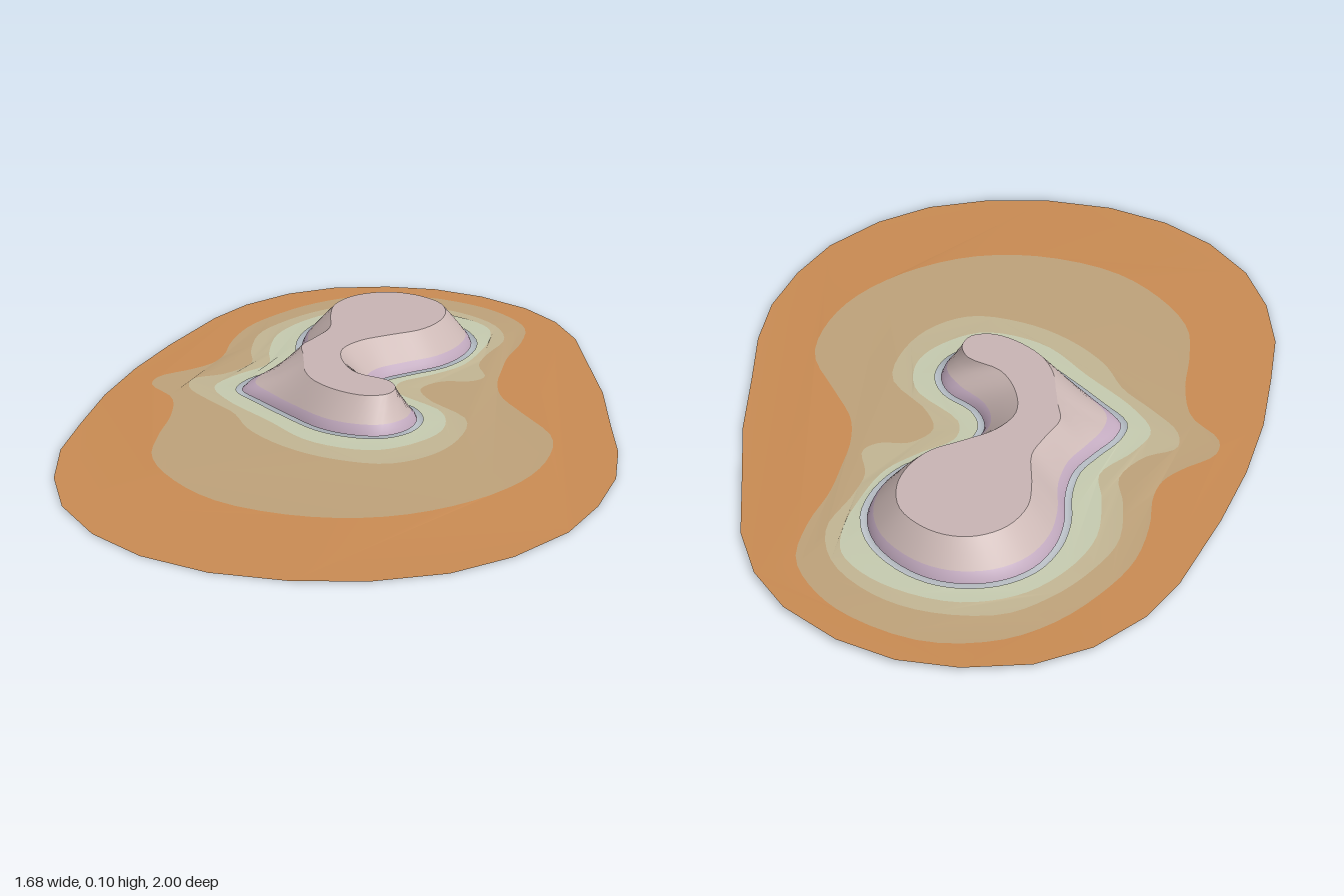
import * as THREE from 'three';

const mat = (name, color) => {
  const m = new THREE.MeshStandardMaterial({ color, side: THREE.DoubleSide });
  m.name = name;
  return m;
};

// Outlines seen from above, as flat x, z pairs
const RIM = [-.34, -1, -.17, -.99, -.03, -.94, .10, -.85, .24, -.70, .40, -.53, .54, -.35, .66, -.20, .75, -.05,
  .81, .12, .84, .29, .82, .48, .76, .64, .65, .78, .51, .89, .34, .97, .16, 1, -.01, .98, -.18, .91, -.32, .80,
  -.44, .66, -.53, .50, -.63, .31, -.71, .11, -.77, -.09, -.83, -.35, -.84, -.50, -.81, -.66, -.74, -.79,
  -.62, -.90, -.49, -.97];
const DEEP = [-.31, -.92, -.18, -.90, -.07, -.84, 0, -.72, .04, -.60, .09, -.50, .14, -.41, .21, -.33, .33, -.26,
  .48, -.17, .56, -.03, .59, .13, .56, .32, .47, .49, .32, .61, .11, .67, -.07, .64, -.22, .56, -.31, .44,
  -.38, .32, -.47, .22, -.58, .18, -.61, .12, -.58, .02, -.57, -.05, -.59, -.12, -.65, -.22, -.70, -.35,
  -.71, -.48, -.69, -.64, -.63, -.77, -.50, -.88];
const MIDDLE = [-.30, -.83, -.15, -.80, -.05, -.71, -.015, -.58, .02, -.49, .09, -.42, .08, -.37, .02, -.32,
  .01, -.24, .08, -.185, .24, -.13, .31, 0, .32, .13, .27, .24, .14, .30, 0, .31, -.15, .275, -.26, .21,
  -.37, .18, -.48, .14, -.52, .08, -.48, 0, -.48, -.11, -.55, -.19, -.63, -.32, -.645, -.45, -.63, -.58,
  -.58, -.70, -.44, -.80];
const SHALLOW = [-.29, -.79, -.15, -.765, -.085, -.69, -.04, -.58, -.01, -.45, -.03, -.34, -.06, -.24, -.02, -.175,
  .16, -.13, .24, -.03, .245, .08, .19, .195, .03, .245, -.15, .20, -.34, .15, -.43, .095, -.445, 0,
  -.435, -.13, -.50, -.21, -.58, -.34, -.60, -.48, -.57, -.62, -.47, -.735];
// Shore and plateau have matching points
const SHORE = [-.32, -.715, -.19, -.69, -.10, -.62, -.055, -.52, -.05, -.41, -.085, -.31, -.11, -.22, -.085, -.15,
  -.02, -.105, .085, -.09, .15, -.04, .175, .04, .15, .11, .085, .15, -.005, .165, -.13, .14, -.26, .105,
  -.35, .075, -.375, .015, -.375, -.07, -.38, -.16, -.42, -.25, -.485, -.34, -.525, -.43, -.535, -.53,
  -.50, -.62, -.42, -.69];
const PLATEAU = [-.31, -.655, -.22, -.635, -.155, -.57, -.125, -.49, -.125, -.41, -.16, -.33, -.195, -.24, -.19, -.155,
  -.13, -.08, -.04, -.03, .06, -.035, .11, 0, .12, .05, .085, .09, .02, .105, -.08, .09, -.155, .045,
  -.205, -.01, -.25, -.06, -.295, -.11, -.31, -.19, -.33, -.27, -.40, -.36, -.45, -.44, -.46, -.53,
  -.43, -.60, -.38, -.64];

const N = 108;
const points = (flat) => {
  const out = [];
  for (let i = 0; i < flat.length; i += 2) out.push(new THREE.Vector3(flat[i], 0, flat[i + 1]));
  return out;
};
const smooth = (flat) => {
  const curve = new THREE.CatmullRomCurve3(points(flat), true);
  return Array.from({ length: N }, (_, i) => curve.getPoint(i / N));
};
const lift = (loop, y) => loop.map((p) => new THREE.Vector3(p.x, y, p.z));

// Push a loop outward by a fixed distance
const offset = (loop, d) => loop.map((p, i) => {
  const a = loop.at(i - 1), b = loop[(i + 1) % loop.length];
  const t = b.clone().sub(a).setY(0).normalize();
  return new THREE.Vector3(p.x + t.z * d, p.y, p.z - t.x * d);
});

// Filled outline, optionally with a hole; keeps the height of each loop
function sheet(outer, hole) {
  const flat = (loop) => loop.map((p) => new THREE.Vector2(p.x, -p.z));
  const shape = new THREE.Shape(flat(outer));
  if (hole) shape.holes.push(new THREE.Path(flat(hole)));
  const geo = new THREE.ShapeGeometry(shape).rotateX(-Math.PI / 2);
  const all = hole ? [...outer, ...hole] : outer;
  const pos = geo.attributes.position;
  for (let i = 0; i < pos.count; i++) {
    const x = pos.getX(i), z = pos.getZ(i);
    const match = all.find((p) => Math.hypot(p.x - x, p.z - z) < 1e-5);
    if (match) pos.setY(i, match.y);
  }
  geo.computeVertexNormals();
  return geo;
}

// Surface running through a stack of matching loops
function loft(loops) {
  const verts = loops.flatMap((loop) => loop.flatMap((p) => [p.x, p.y, p.z]));
  const index = [];
  for (let r = 0; r < loops.length - 1; r++) {
    for (let i = 0; i < N; i++) {
      const j = (i + 1) % N, a = r * N + i, b = r * N + j;
      index.push(a, a + N, b, b, a + N, b + N);
    }
  }
  const geo = new THREE.BufferGeometry();
  geo.setAttribute('position', new THREE.Float32BufferAttribute(verts, 3));
  geo.setIndex(index);
  geo.computeVertexNormals();
  return geo;
}

export function createModel() {
  const group = new THREE.Group();
  const add = (name, geo, material) => {
    const mesh = new THREE.Mesh(geo, material);
    mesh.name = name;
    group.add(mesh);
  };

  // Sloping seabed in nested colour bands, with a narrow gap around the island
  const shore = lift(smooth(SHORE), .016);
  const rim = points(RIM);
  rim.forEach((p) => { p.y = Math.max(0, .005 - .003 * p.x - .004 * p.z); });
  const levels = [rim, lift(smooth(DEEP), .009), lift(smooth(MIDDLE), .012),
    lift(smooth(SHALLOW), .014), offset(shore, .016)];
  const bands = [['outerBand', 0xc98b53], ['deepBand', 0xbea27a], ['middleBand', 0xc2b593], ['shallowBand', 0xc5caaf]];
  bands.forEach(([name, color], i) => add(name, sheet(levels[i], levels[i + 1]), mat(name + 'Colour', color)));

  // Island: low foot, steep cliff with a gully at the front right corner, flat top
  const top = lift(smooth(PLATEAU), .105);
  const between = (t, height) => shore.map((p, i) => {
    const gully = Math.max(0, 1 - Math.abs(i / 4 - 17.5) / 2.5);
    const q = p.clone().lerp(top[i], t);
    q.y = height - .02 * gully * t;
    return q;
  });
  const ledge = between(.22, .042);
  add('islandFoot', loft([shore, between(.08, .03), ledge]), mat('lavenderRock', 0xc2aabf));
  add('islandCliff', loft([ledge, between(.6, .075), top]), mat('pinkRock', 0xcdb9b6));
  add('islandTop', sheet(top), mat('plateauRock', 0xc8b4b4));
  return group;
}
